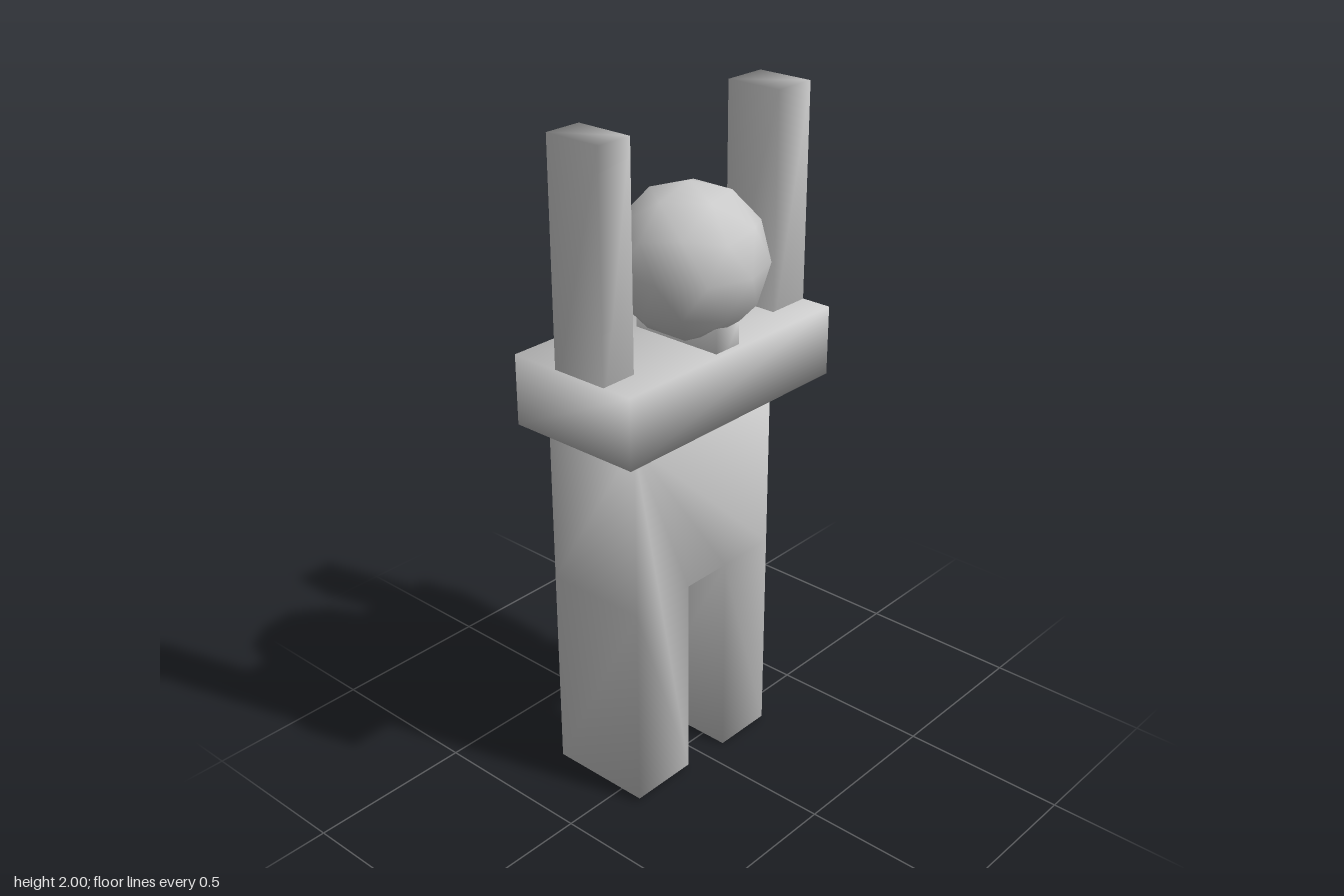
import * as THREE from 'three';
import { mergeVertices } from 'three/addons/utils/BufferGeometryUtils.js';

const material = new THREE.MeshStandardMaterial({ color: 0xcccccc });

// Welds corners so that shading runs softly across the edges
function weld(geometry) {
  geometry.deleteAttribute('normal');
  geometry.deleteAttribute('uv');
  const welded = mergeVertices(geometry, 1e-4);
  welded.computeVertexNormals();
  return welded;
}

function add(group, name, geometry) {
  const mesh = new THREE.Mesh(geometry, material);
  mesh.name = name;
  group.add(mesh);
  return mesh;
}

// Soft-shaded block given by its limits on each axis
function block(group, name, [x0, x1], [y0, y1], [z0, z1]) {
  const g = weld(new THREE.BoxGeometry(x1 - x0, y1 - y0, z1 - z0));
  g.translate((x0 + x1) / 2, (y0 + y1) / 2, (z0 + z1) / 2);
  return add(group, name, g);
}

export function createModel() {
  const group = new THREE.Group();
  group.name = 'figure';

  // Torso and both legs: one outline (-z, y) extruded along x
  const outline = [
    [-0.295, 0.01], [-0.08, 0.01], [-0.08, 0.64], [0.08, 0.64], [0.08, 0],
    [0.27, 0], [0.27, 0.64], [0.27, 1.17], [-0.295, 1.17], [-0.295, 0.64],
  ].map(([u, y]) => new THREE.Vector2(u, y));
  const body = new THREE.ExtrudeGeometry(new THREE.Shape(outline), { depth: 0.32, bevelEnabled: false });
  body.rotateY(Math.PI / 2).translate(-0.24, 0, 0);
  add(group, 'torsoAndLegs', weld(body));

  // Shoulder slab, raised arms and neck
  block(group, 'shoulders', [-0.24, 0.175], [1.17, 1.375], [-0.408, 0.408]);
  block(group, 'frontArm', [-0.09, 0.083], [1.3, 2], [0.295, 0.407]);
  block(group, 'backArm', [-0.09, 0.083], [1.3, 2], [-0.407, -0.272]);
  block(group, 'neck', [-0.13, 0.157], [1.3, 1.445], [-0.035, 0.057]);

  // Faceted ball head with one corner pointing up
  const head = new THREE.IcosahedronGeometry(0.217, 1);
  head.rotateZ(Math.atan(2 / (1 + Math.sqrt(5)))).rotateY(Math.PI / 2);
  add(group, 'head', weld(head)).position.set(0.02, 1.593, 0.01);

  return group;
}
